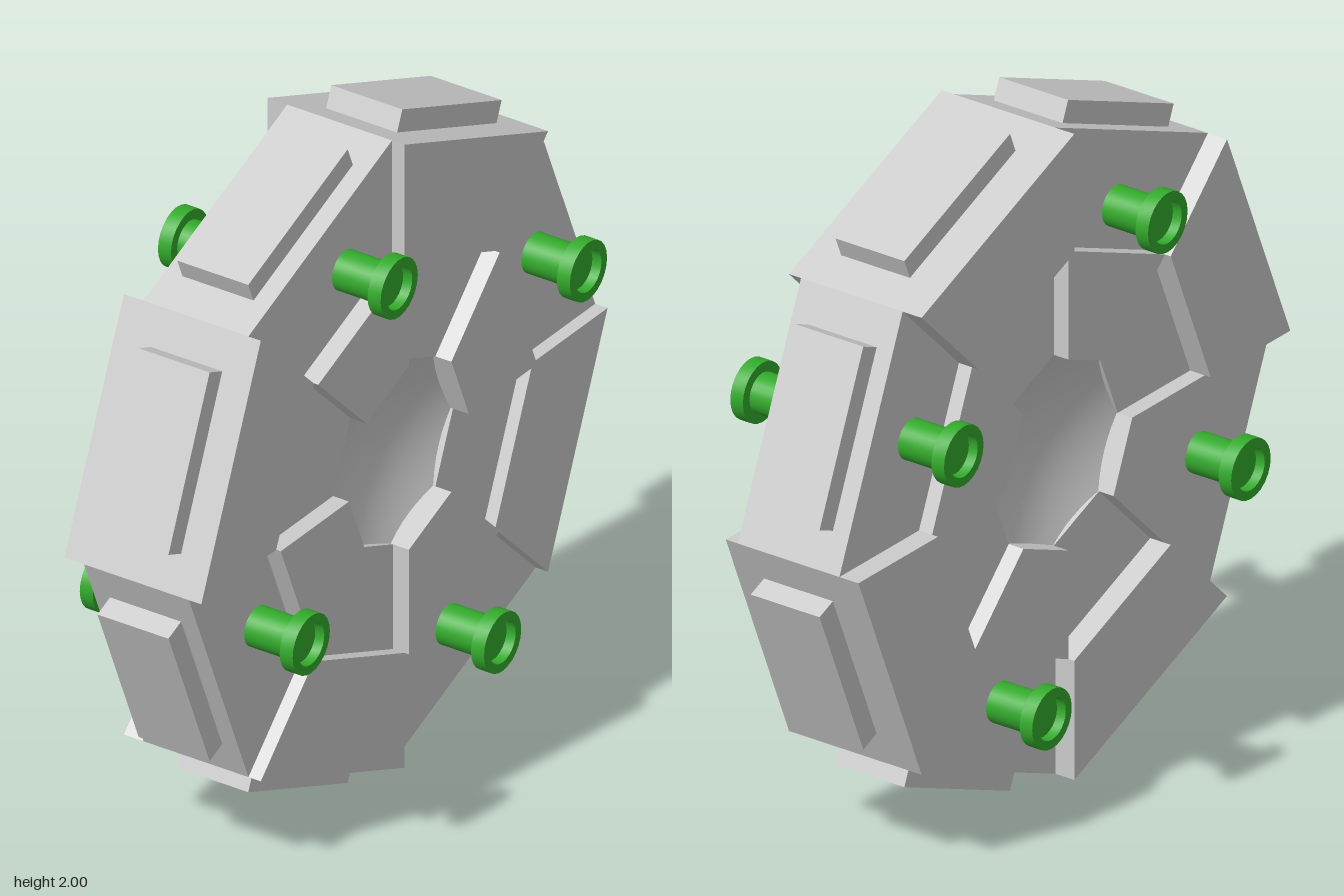
import * as THREE from 'three';
import { toCreasedNormals } from 'three/addons/utils/BufferGeometryUtils.js';

const grey = new THREE.MeshStandardMaterial({ color: 0xcccccc });
const green = new THREE.MeshStandardMaterial({ color: 0x33aa2c });
const STEP = Math.PI / 4;
const R_OUT = 0.982, R_MID = 0.62, R_IN = 0.29;

function add(parent, name, geometry, material = grey) {
  const mesh = new THREE.Mesh(geometry, material);
  mesh.name = name;
  parent.add(mesh);
  return mesh;
}

// Trapezoid block of one octagon sector, from radius r0 to r1 and from x0 to x1.
// Angles run from +z towards +y.
function sector(index, r0, r1, x0, x1) {
  const a = index * STEP, b = a + STEP;
  const at = (r, t) => new THREE.Vector2(-r * Math.cos(t), r * Math.sin(t));
  const shape = new THREE.Shape([at(r0, a), at(r1, a), at(r1, b), at(r0, b)]);
  const geometry = new THREE.ExtrudeGeometry(shape, { depth: x1 - x0, bevelEnabled: false });
  return geometry.rotateY(Math.PI / 2).translate(x0, 0, 0);
}

// Flanged peg with a recessed end, lying along +x from the wheel to xEnd
function peg(xEnd) {
  const head = xEnd - 0.043;
  const profile = [
    [0.06, 0.1], [0.06, head], [0.09, head], [0.09, xEnd],
    [0.063, xEnd], [0.063, xEnd - 0.03], [0, xEnd - 0.03],
  ].map(([r, h]) => new THREE.Vector2(r, h));
  const geometry = toCreasedNormals(new THREE.LatheGeometry(profile, 24), 0.6);
  return geometry.rotateZ(-Math.PI / 2);
}

export function createModel() {
  const model = new THREE.Group();
  model.name = 'octagonalWheel';
  const wheel = new THREE.Group();
  wheel.name = 'wheel';
  wheel.position.y = 1;
  model.add(wheel);

  for (let i = 0; i < 8; i++) {
    const raised = i % 2 === 0;
    // Outer and inner rings step in and out in opposite order
    add(wheel, 'outerSector', raised
      ? sector(i, R_MID, R_OUT, -0.24, 0.213)
      : sector(i, R_MID, R_OUT, -0.175, 0.172));
    add(wheel, 'innerSector', raised
      ? sector(i, R_IN, R_MID, -0.17, 0.175)
      : sector(i, R_IN, R_MID, -0.22, 0.228));

    // Tread pad on the rim face
    const pad = add(wheel, 'treadPad', new THREE.BoxGeometry(0.235, 0.1, 0.52));
    const mid = (i + 0.5) * STEP;
    pad.position.set(-0.002, 0.923 * Math.sin(mid), 0.923 * Math.cos(mid));
    pad.rotation.x = Math.PI / 2 - mid;
  }

  // Dished hub, hollow on both sides, its rim level with the lower inner sectors
  const dish = [];
  for (let i = 10; i >= 0; i--) {
    const t = i / 10;
    dish.push(new THREE.Vector2(0.295 * t, 0.09 + 0.08 * t * t));
  }
  const half = new THREE.LatheGeometry(dish, 48);
  for (const side of [1, -1]) {
    const hub = add(wheel, 'hubDish', half);
    hub.rotation.z = -side * Math.PI / 2;
  }

  // Four pegs on each side, standing on the lower outer sectors
  const sides = [
    { side: 1, end: 0.353, spots: [[0.23, 0.684], [-0.685, 0.303], [0.655, -0.236], [-0.27, -0.67]] },
    { side: -1, end: 0.355, spots: [[0.272, 0.64], [-0.656, 0.293], [0.65, -0.258], [-0.255, -0.663]] },
  ];
  for (const { side, end, spots } of sides) {
    const geometry = peg(end);
    for (const [z, y] of spots) {
      const mesh = add(wheel, side > 0 ? 'leftPeg' : 'rightPeg', geometry, green);
      mesh.position.set(0, y, z);
      if (side < 0) mesh.rotation.y = Math.PI;
    }
  }
  return model;
}
